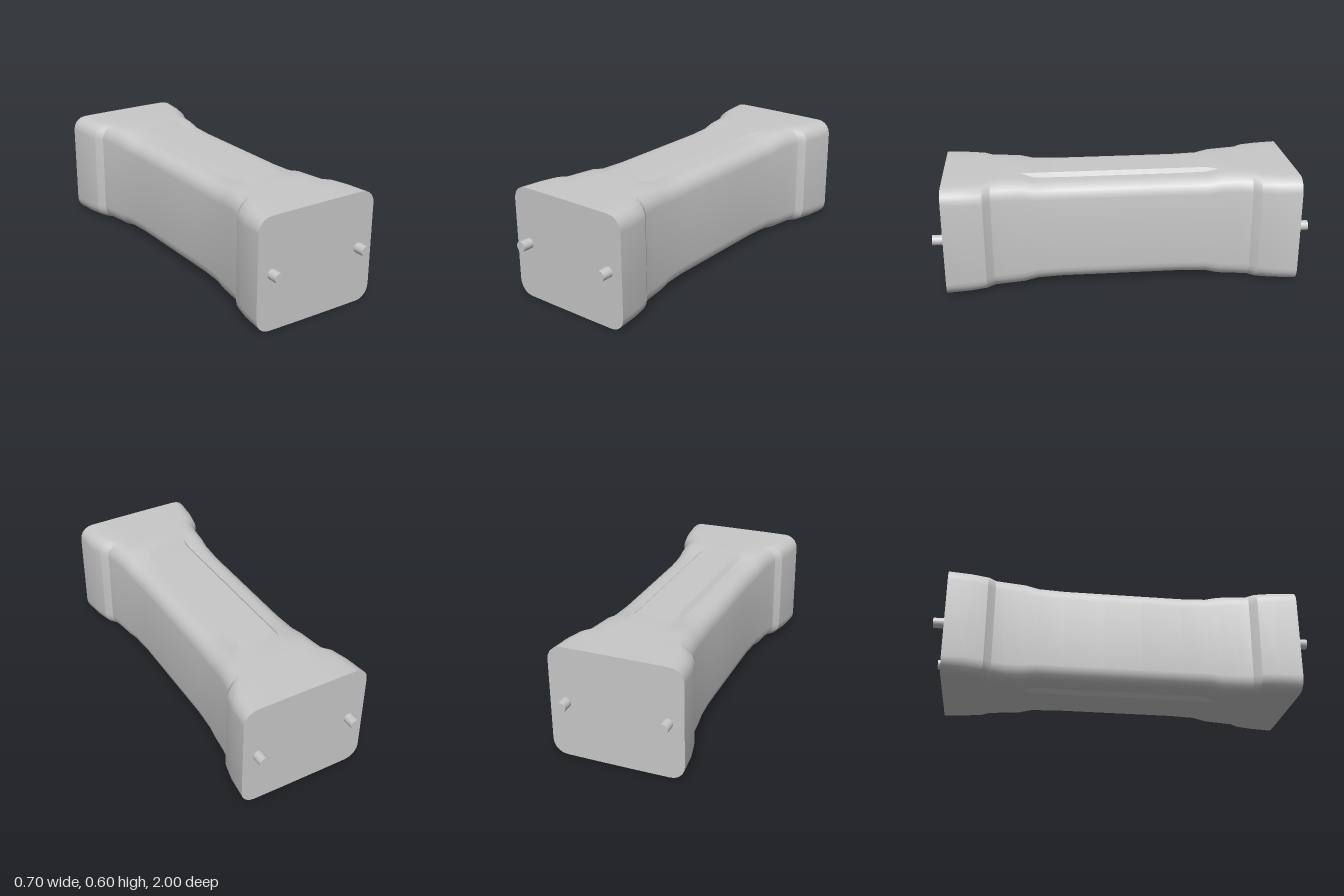
import * as THREE from 'three';
import { toCreasedNormals } from 'three/addons/utils/BufferGeometryUtils.js';

const CENTRE_Y = 0.298;

// One cross-section: a rounded rectangle whose top and bottom carry a raised centre panel
function section(halfWidth, shoulder, radius) {
  const quarter = [];
  for (let i = 0; i <= 5; i++) {
    const a = (i / 5) * Math.PI / 2;
    quarter.push([
      halfWidth - radius + radius * Math.cos(a),
      shoulder - radius + radius * Math.sin(a),
    ]);
  }
  quarter.push([0.128, shoulder + 0.001], [0.105, CENTRE_Y]);
  const back = [...quarter].reverse();
  return [
    ...quarter,
    ...back.map(([x, y]) => [-x, y]),
    ...quarter.map(([x, y]) => [-x, -y]),
    ...back.map(([x, y]) => [x, -y]),
  ];
}

// Loft the sections along z and close both ends
function loft(stations) {
  const positions = [];
  const rings = stations.map(([z, w, h, r]) =>
    section(w, h, r).map(([x, y]) => [x, y + CENTRE_Y, z]));
  const tri = (a, b, c) => positions.push(...a, ...b, ...c);
  const n = rings[0].length;
  for (let s = 0; s < rings.length - 1; s++) {
    for (let i = 0; i < n; i++) {
      const j = (i + 1) % n;
      const [a, b, c, d] = [rings[s][i], rings[s][j], rings[s + 1][j], rings[s + 1][i]];
      tri(a, b, c);
      tri(a, c, d);
    }
  }
  const first = rings[0], last = rings[rings.length - 1];
  for (let i = 0; i < n; i++) {
    const j = (i + 1) % n;
    tri([0, CENTRE_Y, first[0][2]], first[j], first[i]);
    tri([0, CENTRE_Y, last[0][2]], last[i], last[j]);
  }
  const geometry = new THREE.BufferGeometry();
  geometry.setAttribute('position', new THREE.Float32BufferAttribute(positions, 3));
  return toCreasedNormals(geometry, 0.38);
}

export function createModel() {
  const group = new THREE.Group();
  group.name = 'waistedBar';
  const grey = new THREE.MeshStandardMaterial({ color: 0xc8c8c8 });
  grey.name = 'grey';

  // Half of the waisted outline: z, half width, shoulder height, corner radius
  const half = [
    [0.10, 0.250, 0.276, 0.08],
    [0.32, 0.250, 0.276, 0.08],
    [0.46, 0.258, 0.278, 0.08],
    [0.53, 0.265, 0.294, 0.085],
    [0.62, 0.274, 0.297, 0.085],
    [0.69, 0.286, 0.297, 0.085],
    [0.73, 0.318, 0.297, 0.083],
    [0.82, 0.339, 0.297, 0.08],
    [0.94, 0.350, 0.297, 0.075],
  ];
  const stations = [...half.map(([z, ...rest]) => [-z, ...rest]).reverse(), ...half];
  const body = new THREE.Mesh(loft(stations), grey);
  body.name = 'body';
  group.add(body);

  // Two round pins on each end face
  const pinGeometry = new THREE.CylinderGeometry(0.027, 0.027, 0.08, 24);
  pinGeometry.rotateX(Math.PI / 2);
  for (const end of [1, -1]) {
    for (const side of [1, -1]) {
      const pin = new THREE.Mesh(pinGeometry, grey);
      pin.name = `${end > 0 ? 'front' : 'back'}${side > 0 ? 'Left' : 'Right'}Pin`;
      pin.position.set(side * 0.265, 0.3, end * 0.96);
      group.add(pin);
    }
  }
  return group;
}
